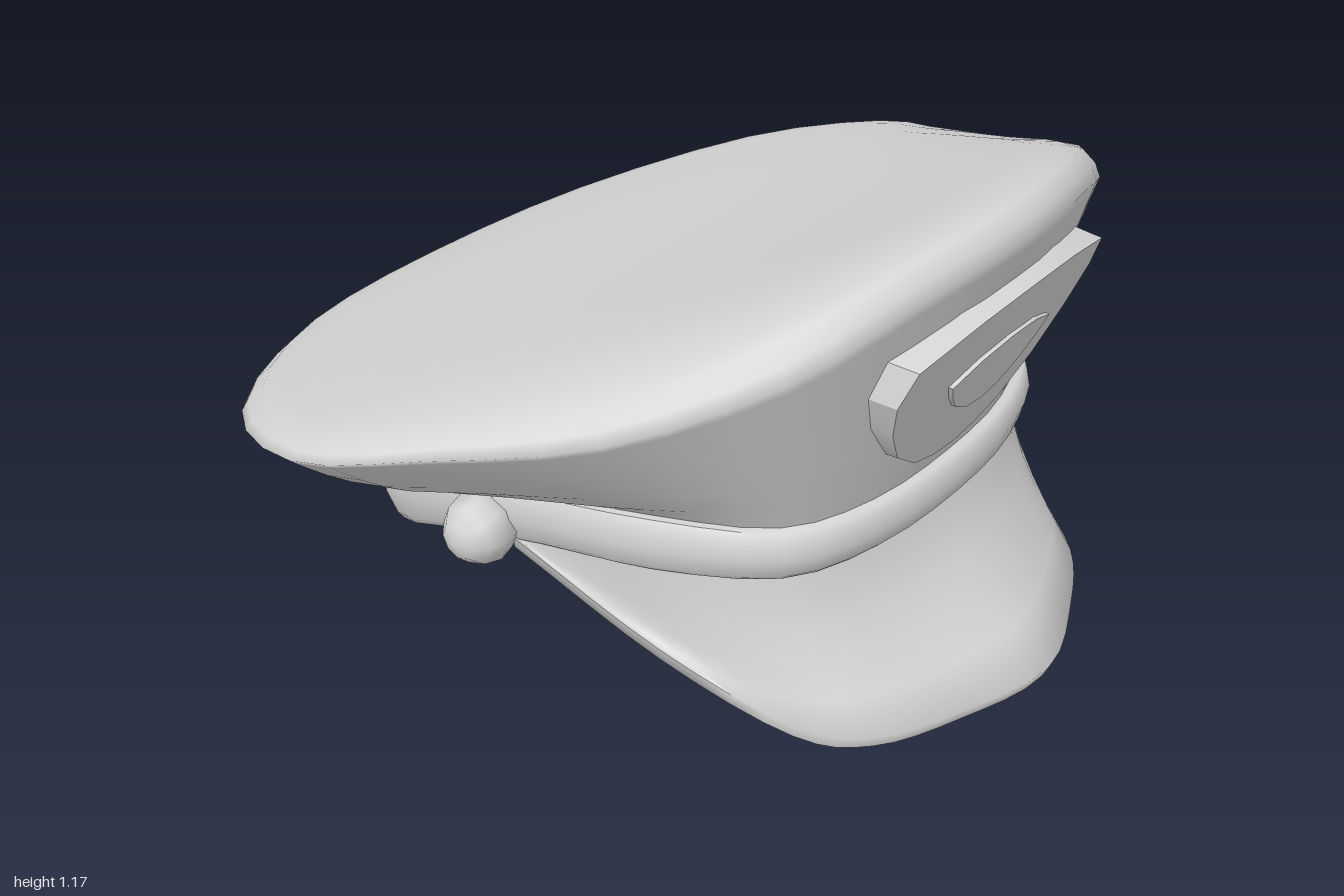
import * as THREE from 'three';
import { toCreasedNormals } from 'three/addons/utils/BufferGeometryUtils.js';

const V = (x, y, z = 0) => new THREE.Vector3(x, y, z);
const ZC = -0.05; // plan centre of the cap
const N = 48;

// Half outline on the +x side, mirrored into a closed loop
const mirrored = half => {
  const p = half.map(a => V(...a));
  return [...p, ...p.slice(1, -1).reverse().map(v => V(-v.x, v.y, v.z))];
};
const ring = half => {
  const c = new THREE.CatmullRomCurve3(mirrored(half), true, 'catmullrom', 0.5);
  return Array.from({ length: N }, (_, j) => c.getPoint(j / N));
};
// Open curve from -x round the front to +x
const arc = half => {
  const p = half.map(a => V(...a));
  const c = new THREE.CatmullRomCurve3(
    [...p.slice(1).reverse().map(v => V(-v.x, v.y, v.z)), ...p], false, 'catmullrom', 0.5);
  return Array.from({ length: 41 }, (_, j) => c.getPoint(j / 40));
};
// Scale a point in plan about the cap's centre and lift it
const inset = (v, k, dy = 0) => V(v.x * k, v.y + dy, ZC + (v.z - ZC) * k);

// Skin a list of equal-length sections
function loft(rows, closed, crease) {
  const n = rows[0].length, pos = [], idx = [];
  rows.forEach(r => r.forEach(v => pos.push(v.x, v.y, v.z)));
  for (let i = 0; i < rows.length - 1; i++)
    for (let j = 0; j < (closed ? n : n - 1); j++) {
      const k = (j + 1) % n, a = i * n + j, b = i * n + k;
      idx.push(a, b, b + n, a, b + n, a + n);
    }
  const g = new THREE.BufferGeometry();
  g.setAttribute('position', new THREE.Float32BufferAttribute(pos, 3));
  g.setIndex(idx);
  return toCreasedNormals(g, crease);
}

export function createModel() {
  const cap = new THREE.Group();
  cap.name = 'peakedCap';
  const cloth = new THREE.MeshStandardMaterial({ color: 0xd4d4d4 });
  cloth.name = 'light grey';
  const add = (name, geo) => {
    const m = new THREE.Mesh(geo, cloth);
    m.name = name;
    cap.add(m);
    return m;
  };

  // Guide outlines, front to back
  const rim = ring([[0, 1.11, 0.79], [0.3, 1.08, 0.745], [0.55, 0.99, 0.64], [0.76, 0.87, 0.4],
    [0.91, 0.79, 0.1], [1, 0.715, -0.18], [0.86, 0.61, -0.53], [0.48, 0.48, -0.835], [0, 0.42, -0.945]]);
  const bandTop = ring([[0, 0.575, 0.655], [0.24, 0.575, 0.635], [0.43, 0.575, 0.55], [0.55, 0.57, 0.33],
    [0.6, 0.53, 0.07], [0.61, 0.47, -0.18], [0.55, 0.35, -0.45], [0.33, 0.23, -0.7], [0, 0.17, -0.805]]);
  const bandLow = ring([[0, 0.475, 0.66], [0.24, 0.47, 0.635], [0.43, 0.465, 0.55], [0.55, 0.45, 0.33],
    [0.59, 0.405, 0.07], [0.595, 0.325, -0.18], [0.53, 0.19, -0.43], [0.31, 0.05, -0.66], [0, 0, -0.75]]);

  // Crown: flared wall, soft shoulder, saddle-shaped top
  const crown = [0, 0.15, 0.32, 0.5, 0.68, 0.85, 0.95, 1].map(s => rim.map((r, j) => {
    const b = bandTop[j], h = Math.pow(s, Math.max(0.6, 0.65 + 0.45 * r.z));
    return V(b.x + (r.x - b.x) * h, b.y + (r.y - b.y) * s, b.z + (r.z - b.z) * h);
  }));
  for (const k of [0.985, 0.95, 0.9, 0.82, 0.7, 0.55, 0.4, 0.25, 0.12, 0])
    crown.push(rim.map(r => {
      const v = inset(r, k), w = k ** 6;
      const saddle = 0.845 + 0.39 * v.z + 0.09 * v.z * v.z;
      const roll = (0.015 + 0.045 * Math.abs(r.z)) * Math.min(1, (1 - k) / 0.03);
      v.y = saddle * (1 - w) + (r.y + roll) * w;
      return v;
    }));
  add('crown', loft(crown, true, 2.5));

  // Head band: slightly bulged face, square edges, inner lip
  const bandProfile = [[0.3, -0.04], [0, -0.03], [0, 0.015], [0.12, 0.025], [0.5, 0.033],
    [0.88, 0.025], [1, 0.015], [1, -0.04]];
  add('band', loft(bandProfile.map(([t, out]) =>
    bandLow.map((b, j) => inset(b.clone().lerp(bandTop[j], t), 1 + out / 0.65))), true, 0.9));

  // Lining closing the underside, dropping towards the visor
  add('lining', loft([0, 0.35, 0.7, 0.98].map(k => bandLow.map(b => {
    const v = inset(b, k, 0.015);
    v.y = v.y * k * k + (0.345 + 0.33 * (v.z - ZC)) * (1 - k * k) - 0.24 * Math.max(0, v.z);
    return v;
  })), true, 1.2));

  // Visor: concave top, thick root, thin lip
  const visorIn = arc([[0, 0.49, 0.66], [0.24, 0.485, 0.635], [0.43, 0.48, 0.55], [0.56, 0.465, 0.33],
    [0.6, 0.43, 0.07], [0.605, 0.4, -0.04]]);
  const visorOut = arc([[0, 0.15, 0.94], [0.22, 0.145, 0.87], [0.39, 0.14, 0.775], [0.485, 0.155, 0.64],
    [0.58, 0.27, 0.37], [0.62, 0.4, 0]]);
  const visorRow = s => visorIn.map((a, j) => {
    const b = visorOut[j], h = s ** 1.6;
    return V(a.x + (b.x - a.x) * h, a.y + (b.y - a.y) * s, a.z + (b.z - a.z) * h);
  });
  const root = visorIn.map(v => V(v.x * 0.9, v.y, v.z * 0.94));
  const under = [[0.48, 0.91], [0.62, 0.94], [0.8, 0.965], [1, 0.985]].map(([s, k]) =>
    visorRow(s).map(v => V(v.x * k, v.y - 0.035, v.z * k)));
  const top = [1, 0.8, 0.6, 0.4, 0.2, 0].map(visorRow);
  add('visor', loft([root, ...under, ...top], false, 1.3));

  // Badge and its raised emblem, leaning forward and slightly bowed
  const plate = (name, half, depth, lift, bevel) => {
    const o = mirrored(half);
    const row = (k, dz) => o.map(p => {
      const x = p.x * k, y = 0.82 + (p.y - 0.82) * k;
      return V(x, y, 0.66 + (y - 0.59) * 0.345 - 0.15 * x * x + dz);
    });
    add(name, loft([row(1, lift - depth), row(bevel, lift), row(0.5, lift), row(0, lift)], true, 0.6));
  };
  plate('badge', [[0, 0.59], [0.08, 0.6], [0.16, 0.625], [0.26, 0.7], [0.33, 0.8], [0.365, 0.89],
    [0.345, 0.97], [0.17, 1.01], [0, 1.02]], 0.12, 0, 0.97);
  plate('emblem', [[0, 0.725], [0.06, 0.735], [0.12, 0.77], [0.155, 0.81], [0.18, 0.85],
    [0.1, 0.88], [0, 0.89]], 0.0098, 0.0095, 1);

  // Side buttons
  for (const [name, side] of [['leftButton', 1], ['rightButton', -1]]) {
    const b = add(name, new THREE.SphereGeometry(0.08, 8, 6).rotateZ(Math.PI / 2));
    b.position.set(side * 0.655, 0.42, -0.05);
  }
  return cap;
}
